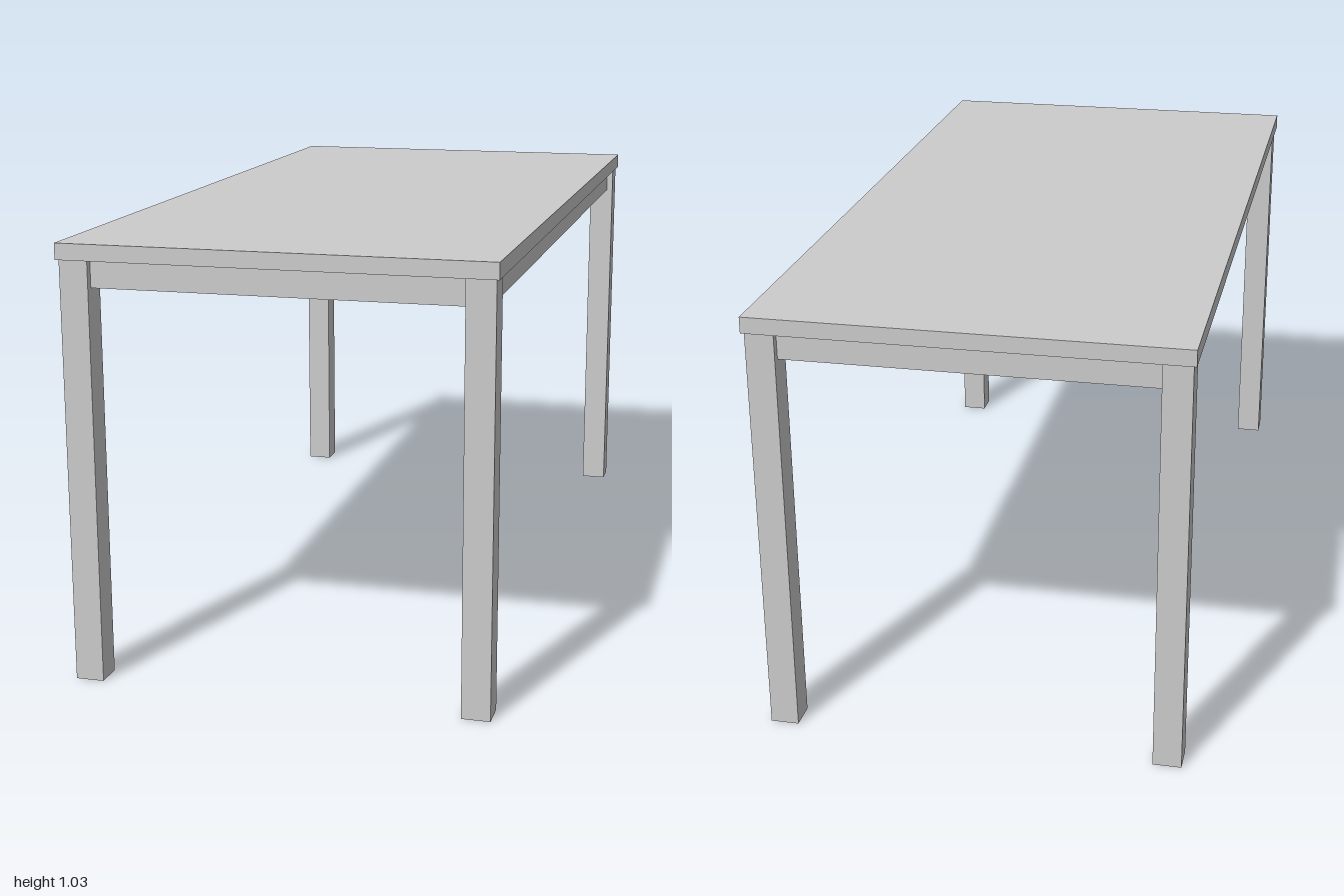
import * as THREE from 'three';

export function createModel() {
  const table = new THREE.Group();
  table.name = 'table';
  const material = new THREE.MeshStandardMaterial({ color: 0xcccccc });

  const addBox = (name, w, h, d, x, y, z) => {
    const mesh = new THREE.Mesh(new THREE.BoxGeometry(w, h, d), material);
    mesh.name = name;
    mesh.position.set(x, y, z);
    table.add(mesh);
  };

  const legHeight = 0.995, leg = 0.067, topThickness = 0.038;
  const legX = 0.46, legZ = 0.96;
  const apronHeight = 0.064, apronThickness = 0.033;
  const apronY = legHeight - apronHeight / 2;

  // Table top
  addBox('tableTop', 1, topThickness, 2, 0, legHeight + topThickness / 2, 0);

  // Square legs, slightly inset from the corners
  for (const [sx, side] of [[1, 'Left'], [-1, 'Right']]) {
    for (const [sz, end] of [[1, 'front'], [-1, 'back']]) {
      addBox(`${end}${side}Leg`, leg, legHeight, leg, sx * legX, legHeight / 2, sz * legZ);
    }
  }

  // Aprons running between the legs, centred on their thickness
  for (const [s, side, end] of [[1, 'left', 'front'], [-1, 'right', 'back']]) {
    addBox(`${side}Apron`, apronThickness, apronHeight, 2 * legZ - leg, s * legX, apronY, 0);
    addBox(`${end}Apron`, 2 * legX - leg, apronHeight, apronThickness, 0, apronY, s * legZ);
  }

  return table;
}
